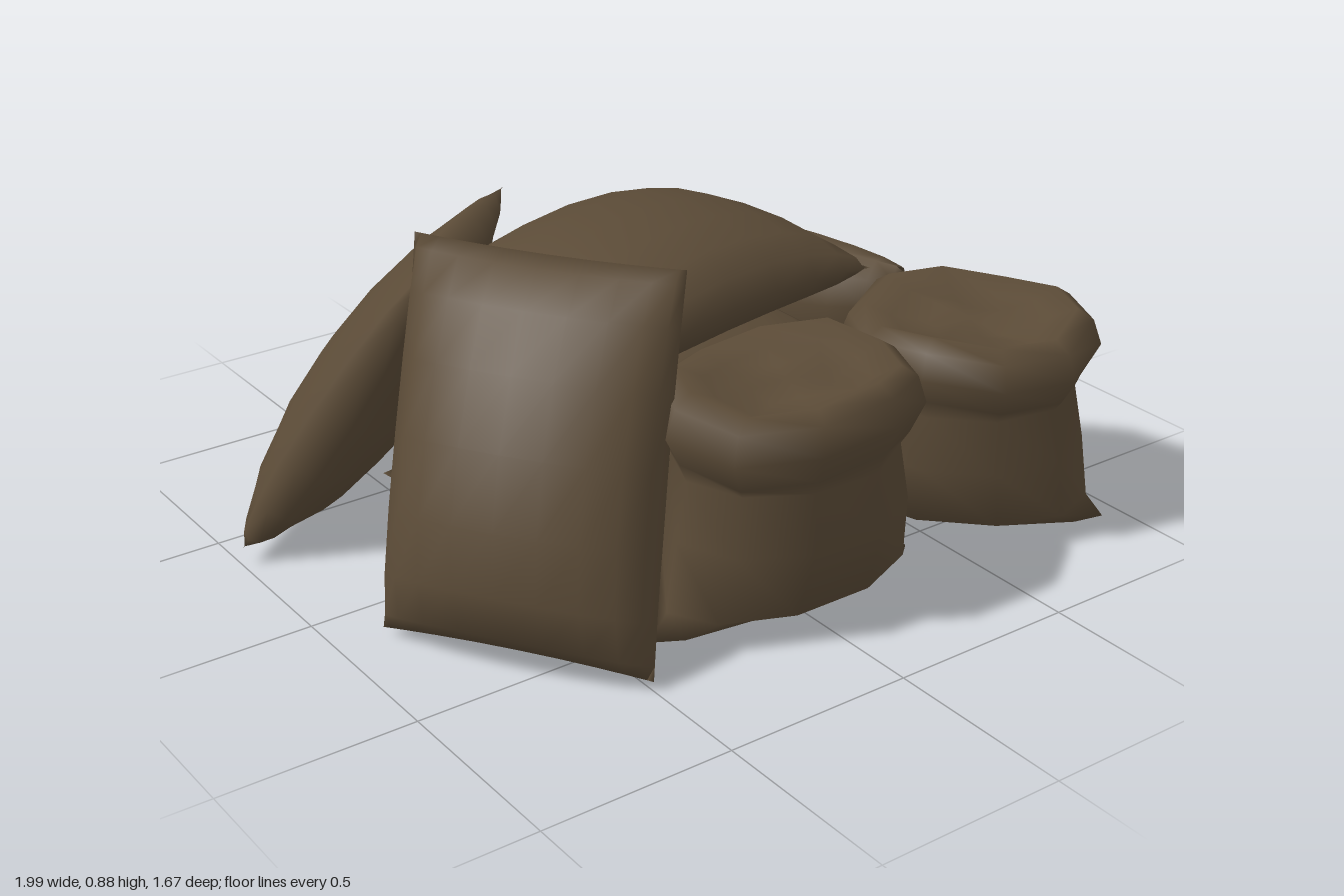
import * as THREE from 'three';
import { mergeGeometries, mergeVertices } from 'three/addons/utils/BufferGeometryUtils.js';

const burlap = new THREE.MeshStandardMaterial({ color: 0x5b4b37 });
burlap.name = 'brown burlap';

// Closed smooth cushion, 2 x 2 x 2, with its seam in the z = 0 plane
function cushion() {
  const front = new THREE.PlaneGeometry(2, 2, 10, 8);
  const p = front.attributes.position;
  for (let i = 0; i < p.count; i++) {
    // Rows crowd towards the seam, where the cloth curves most
    const u = Math.sin(p.getX(i) * Math.PI / 2), v = Math.sin(p.getY(i) * Math.PI / 2);
    const eu = Math.max(0, 1 - u * u), ev = Math.max(0, 1 - v * v);
    const z = eu * ev < 1e-9 ? 0 : Math.pow(eu * ev, 0.45);
    p.setXYZ(i, u * (1 - 0.02 * ev), v * (1 - 0.02 * eu), z);
  }
  front.deleteAttribute('uv');
  front.deleteAttribute('normal');
  const back = front.clone().scale(1, 1, -1);
  back.index.array.reverse();
  return mergeVertices(mergeGeometries([front, back]), 1e-4);
}

// Stuffed sack spanning a parallelogram given by three of its corners.
// outer, inner: bulge of each face; slump: filling sunk low; sag: drooping ends
function pillow(name, bl, br, tl, { outer, inner, slump = 0, sag = 0 }) {
  const [a, b, c] = [bl, br, tl].map(p => new THREE.Vector3(...p));
  const U = b.clone().sub(a).multiplyScalar(0.5);
  const V = c.clone().sub(a).multiplyScalar(0.5);
  const N = U.clone().cross(V).normalize();
  const centre = b.add(c).multiplyScalar(0.5);
  const g = cushion();
  const p = g.attributes.position;
  const v = new THREE.Vector3();
  for (let i = 0; i < p.count; i++) {
    v.fromBufferAttribute(p, i);
    const bulge = v.z * (v.z > 0 ? outer : inner) * (1 - slump * v.y);
    const drop = sag * v.x * v.x;
    v.copy(centre).addScaledVector(U, p.getX(i)).addScaledVector(V, p.getY(i)).addScaledVector(N, bulge);
    p.setXYZ(i, v.x, v.y - drop, v.z);
  }
  g.computeVertexNormals();
  const mesh = new THREE.Mesh(g, burlap);
  mesh.name = name;
  return mesh;
}

// Flat-lying sack: centre, half length, half width, turn about y
function lyingSack(name, [x, y, z], hl, hw, turn, shape) {
  const corner = (sx, sz) => {
    const v = new THREE.Vector3(sx * hl, 0, sz * hw).applyAxisAngle(new THREE.Vector3(0, 1, 0), turn);
    return [x + v.x, y + v.y, z + v.z];
  };
  return pillow(name, corner(-1, 1), corner(1, 1), corner(-1, -1), shape);
}

// Upright open sack: rows of [height, half width along seam, half depth]
const rows = [
  [0.012, 0, 0], [0.025, 0.4, 0.07], [0.09, 0.35, 0.2], [0.27, 0.325, 0.25],
  [0.42, 0.295, 0.235], [0.46, 0.315, 0.255], [0.535, 0.355, 0.285], [0.605, 0.33, 0.268],
  [0.635, 0.285, 0.23], [0.605, 0.215, 0.175], [0.595, 0.11, 0.09], [0.6, 0, 0],
];
function openSack(name, x, z, turn, scale, phase) {
  const g = new THREE.LatheGeometry(rows.map((_, i) => new THREE.Vector2(1, i)), 10, Math.PI / 2);
  const p = g.attributes.position;
  for (let i = 0; i < p.count; i++) {
    const r = Math.round(p.getY(i)), [y, rx, rz] = rows[r];
    const angle = Math.atan2(p.getX(i), p.getZ(i));
    // Uneven rolled rim
    const wave = r > 4 && rx > 0 ? 0.016 * Math.sin(3 * angle + phase) : 0;
    p.setXYZ(i, p.getX(i) * rx, y + wave, p.getZ(i) * rz);
  }
  g.scale(...scale);
  g.deleteAttribute('uv');
  g.deleteAttribute('normal');
  const smooth = mergeVertices(g, 1e-4);
  smooth.computeVertexNormals();
  const mesh = new THREE.Mesh(smooth, burlap);
  mesh.name = name;
  mesh.position.set(x, 0, z);
  mesh.rotation.y = turn;
  return mesh;
}

export function createModel() {
  const model = new THREE.Group();
  model.name = 'sackPile';
  model.add(
    // Stack of three in the middle
    lyingSack('bottomSack', [0.0, 0.15, -0.08], 0.55, 0.35, 0.09, { outer: 0.15, inner: 0.145, sag: 0.02 }),
    lyingSack('middleSack', [-0.02, 0.4, -0.07], 0.54, 0.345, 0.05, { outer: 0.16, inner: 0.15, sag: 0.03 }),
    lyingSack('topSack', [0.02, 0.645, -0.09], 0.53, 0.345, 0.2, { outer: 0.168, inner: 0.16, sag: 0.05 }),
    // Sacks leaning on the stack
    pillow('rightLeaningSack', [-0.88, 0.03, 0.14], [-0.5, 0.03, 0.71], [-0.6, 0.89, -0.12],
      { outer: 0.205, inner: 0.15, slump: 0.25 }),
    pillow('backLeaningSack', [-0.48, 0.04, -0.82], [-1, 0.05, -0.36], [-0.12, 0.79, -0.49],
      { outer: 0.13, inner: 0.16, slump: 0.15 }),
    pillow('leftLeaningSack', [0.99, 0.03, 0.07], [0.75, 0.02, -0.84], [0.72, 0.57, 0.15],
      { outer: 0.14, inner: 0.21 }),
    // Open sacks in front
    openSack('frontOpenSack', -0.005, 0.56, 0, [1, 1, 1], 1),
    openSack('leftOpenSack', 0.655, 0.475, -Math.PI / 4, [0.93, 0.93, 1.12], 2.5),
  );
  return model;
}
